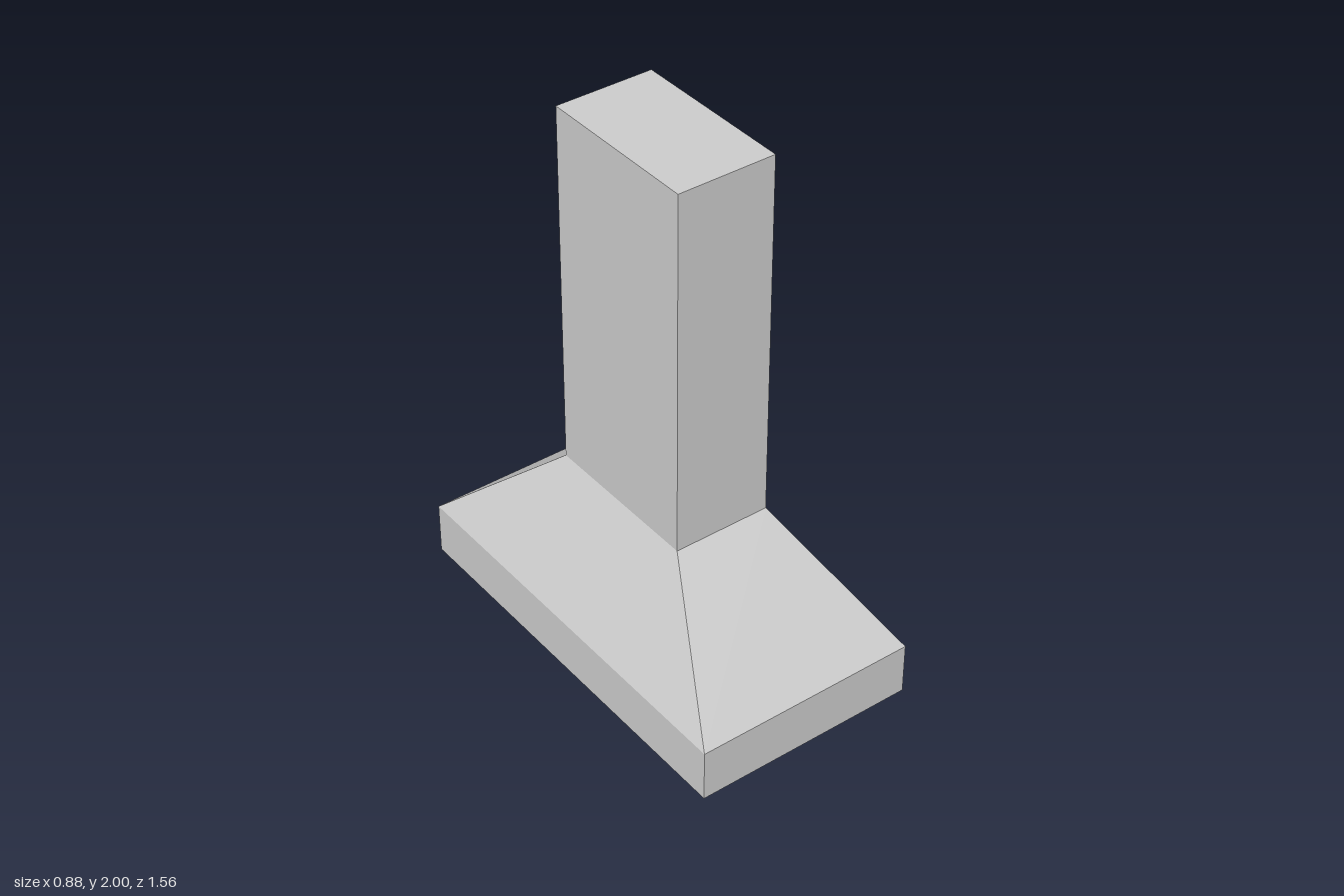
import * as THREE from 'three';

const CX = -0.015; // the hood body sits slightly off centre because of the knobs
const WALL = 0.05;

// Rectangular cross-section: height, half width, half depth
const ring = (y, hx, hz) =>
  [[-1, 1], [1, 1], [1, -1], [-1, -1]].map(([sx, sz]) => [CX + sx * hx, y, sz * hz]);

// Four flat walls between consecutive rings; rising rings face outward, falling ones inward
function loft(rings) {
  const pos = [];
  for (let r = 0; r < rings.length - 1; r++) {
    const a = rings[r], b = rings[r + 1];
    for (let i = 0; i < 4; i++) {
      const j = (i + 1) % 4;
      for (const p of [a[i], a[j], b[j], a[i], b[j], b[i]]) pos.push(...p);
    }
  }
  const geo = new THREE.BufferGeometry();
  geo.setAttribute('position', new THREE.Float32BufferAttribute(pos, 3));
  geo.computeVertexNormals();
  return geo;
}

export function createModel() {
  const group = new THREE.Group();
  const mat = new THREE.MeshStandardMaterial({ color: 0xcccccc, flatShading: true });
  const add = (name, geo) => {
    const mesh = new THREE.Mesh(geo, mat);
    mesh.name = name;
    group.add(mesh);
    return mesh;
  };

  // Half sizes of the wide hood and the narrow chimney
  const HX = 0.425, HZ = 0.78, DX = 0.185, DZ = 0.315;
  const ix = DX - WALL, iz = DZ - WALL;

  // Outer shell
  add('skirt', loft([ring(0, HX, HZ), ring(0.2, HX, HZ)]));
  add('canopy', loft([ring(0.2, HX, HZ), ring(0.615, DX, DZ)]));
  add('chimney', loft([ring(0.615, DX, DZ), ring(2, DX, DZ)]));
  const top = add('chimneyTop', new THREE.PlaneGeometry(2 * DX, 2 * DZ));
  top.rotation.x = -Math.PI / 2;
  top.position.set(CX, 2, 0);

  // Underside: flat rim, sloped intake and hollow flue
  add('rim', loft([ring(0, HX - WALL, HZ - WALL), ring(0, HX, HZ)]));
  add('intake', loft([ring(0.16, ix, iz), ring(0, HX - WALL, HZ - WALL)]));
  add('flue', loft([ring(2 - WALL, ix, iz), ring(0.16, ix, iz)]));
  const ceiling = add('flueCeiling', new THREE.PlaneGeometry(2 * ix, 2 * iz));
  ceiling.rotation.x = Math.PI / 2;
  ceiling.position.set(CX, 2 - WALL, 0);

  // Six-sided control knobs on the left side
  for (const [name, z, r, len] of [['largeKnob', 0.595, 0.025, 0.03], ['smallKnob', 0.535, 0.016, 0.018]]) {
    const knob = add(name, new THREE.CylinderGeometry(r, r, len, 6));
    knob.rotation.z = -Math.PI / 2;
    knob.position.set(0.41 + len / 2, 0.1, z);
  }

  return group;
}
